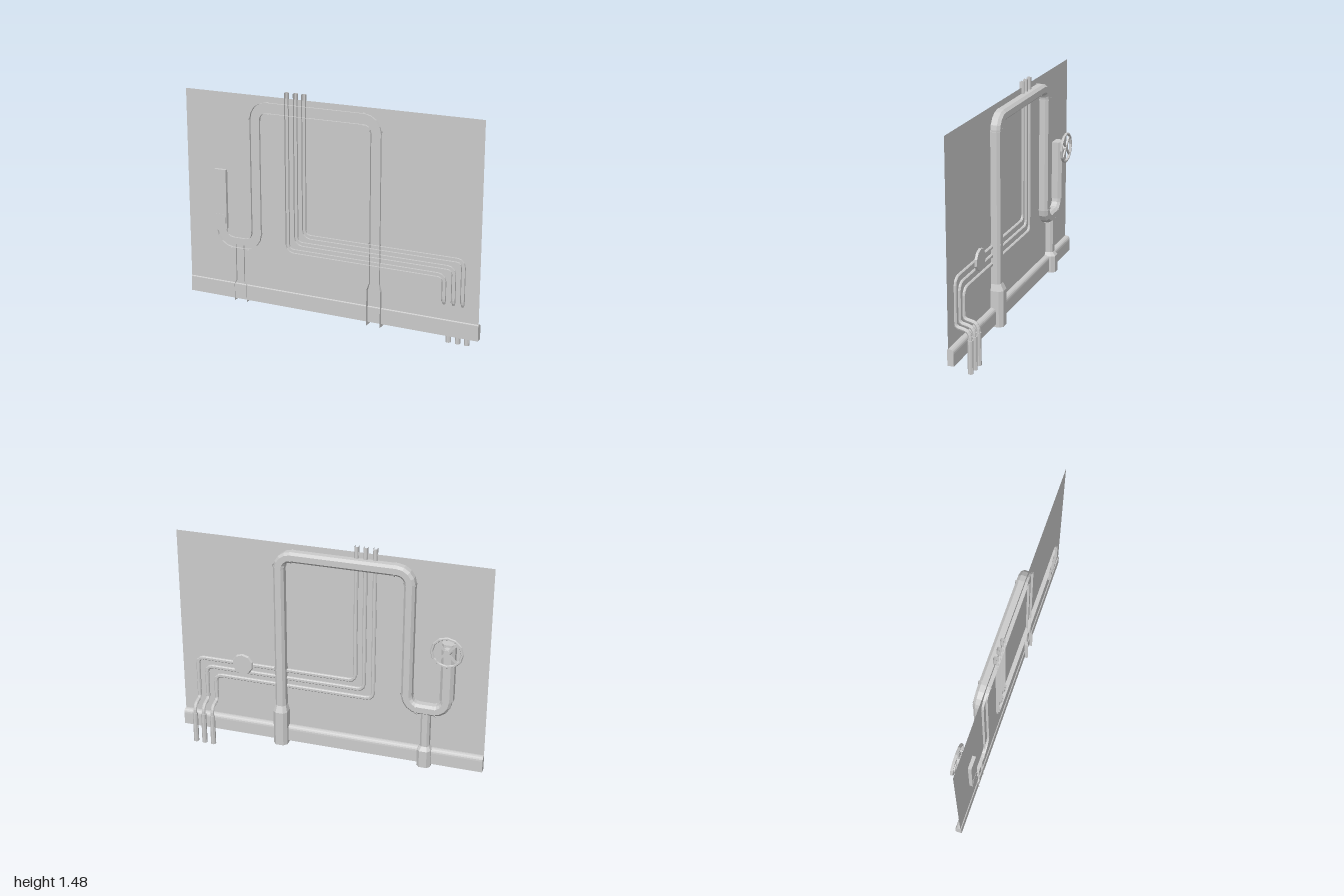
import * as THREE from 'three';

const V2 = (x, y) => new THREE.Vector2(x, y);
const flat = new THREE.MeshStandardMaterial({ color: 0xcccccc, flatShading: true, side: THREE.DoubleSide });
const smooth = new THREE.MeshStandardMaterial({ color: 0xcccccc, side: THREE.DoubleSide });

// open channel section: [sideways offset, z], open towards the front
const section = (hw, front, back) => {
  const c = hw * 0.55, b = back + hw * 0.5;
  return [[-hw, front], [-hw, b], [-c, back], [c, back], [hw, b], [hw, front]];
};

// round the corners of a polyline in the wall plane
function fillet(points, radius, steps = 4) {
  const p = points.map(([x, y]) => V2(x, y)), out = [p[0]];
  for (let i = 1; i < p.length - 1; i++) {
    const a = p[i - 1].clone().sub(p[i]).setLength(radius).add(p[i]);
    const b = p[i + 1].clone().sub(p[i]).setLength(radius).add(p[i]);
    const centre = a.clone().add(b).sub(p[i]);
    for (let k = 0; k <= steps; k++) {
      const t = (k / steps) * Math.PI / 2;
      out.push(centre.clone()
        .addScaledVector(a.clone().sub(centre), Math.cos(t))
        .addScaledVector(b.clone().sub(centre), Math.sin(t)));
    }
  }
  out.push(p[p.length - 1]);
  return out;
}

// sweep one section (or one per point) along a path in the wall plane
function sweep(path, sections) {
  const pos = [], index = [], n = path.length;
  const m = sections[0][0].length ? sections[0].length : 0;
  path.forEach((p, i) => {
    const t = V2(0, 0);
    if (i > 0) t.add(p.clone().sub(path[i - 1]).normalize());
    if (i < n - 1) t.add(path[i + 1].clone().sub(p).normalize());
    t.normalize();
    const sec = sections[Math.min(i, sections.length - 1)];
    sec.forEach(([u, z]) => pos.push(p.x - t.y * u, p.y + t.x * u, z));
    if (i === n - 1) return;
    for (let j = 0; j < m - 1; j++) {
      const a = i * m + j, b = a + m;
      index.push(a, a + 1, b, b, a + 1, b + 1);
    }
  });
  const g = new THREE.BufferGeometry();
  g.setAttribute('position', new THREE.Float32BufferAttribute(pos, 3));
  g.setIndex(index);
  g.computeVertexNormals();
  return g;
}

export function createModel() {
  const root = new THREE.Group();
  const add = (name, geometry, material = flat, parent = root) => {
    const mesh = new THREE.Mesh(geometry, material);
    mesh.name = name;
    parent.add(mesh);
    return mesh;
  };

  // wall panel
  add('wall', new THREE.PlaneGeometry(2, 1.36)).position.set(0, 0.76, 0.044);

  // skirting with a softened top, profile in (z, y)
  const skirt = new THREE.Shape();
  skirt.moveTo(0.05, 0.08);
  skirt.lineTo(0.05, 0.178);
  skirt.quadraticCurveTo(0.049, 0.185, 0.042, 0.185);
  skirt.lineTo(0.032, 0.185);
  skirt.quadraticCurveTo(0.01, 0.18, 0.01, 0.157);
  skirt.lineTo(0.01, 0.08);
  const skirtGeo = new THREE.ExtrudeGeometry(skirt, { depth: 2, bevelEnabled: false, curveSegments: 4 });
  skirtGeo.rotateY(-Math.PI / 2).scale(1, 1, 1).translate(1, 0, 0);
  add('skirting', skirtGeo, smooth);

  // main pipe loop
  const mainPath = fillet([[0.32, 0.33], [0.32, 1.368], [-0.503, 1.368], [-0.503, 0.463], [-0.755, 0.463], [-0.755, 0.645]], 0.08);
  add('mainPipe', sweep(mainPath, [section(0.034, 0.058, -0.012)]));

  // thin collars at the pipe joints: x, y, direction
  const collars = [
    [0.32, 0.595, 0, 1], [0.32, 1.3, 0, 1], [0.238, 1.368, 1, 0], [-0.41, 1.368, 1, 0],
    [-0.503, 1.288, 0, 1], [-0.503, 0.547, 0, 1], [-0.568, 0.463, 1, 0], [-0.688, 0.463, 1, 0],
  ];
  for (const [x, y, dx, dy] of collars) {
    const h = 0.005;
    const ends = [V2(x - dx * h, y - dy * h), V2(x + dx * h, y + dy * h)];
    add('pipeCollar', sweep(ends, [section(0.038, 0.06, -0.017)]));
  }

  // flared foot of the main pipe
  const foot = section(0.046, 0.07, -0.032);
  add('mainPipeFoot', sweep([V2(0.32, 0.06), V2(0.32, 0.295), V2(0.32, 0.337)],
    [foot, foot, section(0.034, 0.058, -0.012)]));

  // branch pipe and its foot
  const branch = section(0.029, 0.055, -0.004), branchFoot = section(0.044, 0.055, -0.025);
  add('branchPipe', sweep([0.065, 0.18, 0.205, 0.45].map(y => V2(-0.627, y)),
    [branchFoot, branchFoot, branch, branch]));

  // valve column, closed on all sides
  const outline = section(0.042, 0.066, -0.02).map(([x, z]) => V2(x, -z));
  const column = new THREE.ExtrudeGeometry(new THREE.Shape(outline), { depth: 0.39, bevelEnabled: false });
  column.rotateX(-Math.PI / 2);
  add('valveColumn', column).position.set(-0.755, 0.55, 0);
  add('valvePlate', new THREE.BoxGeometry(0.064, 0.11, 0.004)).position.set(-0.755, 0.59, 0.066);

  // handwheel
  const wheel = new THREE.Group();
  wheel.name = 'handwheel';
  wheel.position.set(-0.755, 0.9, -0.04);
  root.add(wheel);
  add('wheelRim', new THREE.TorusGeometry(0.094, 0.0095, 6, 12), flat, wheel);
  for (let i = 0; i < 2; i++) {
    add('wheelSpoke', new THREE.BoxGeometry(0.18, 0.014, 0.01), flat, wheel).rotation.z = Math.PI / 4 + i * Math.PI / 2;
  }
  const hub = new THREE.CylinderGeometry(0.02, 0.03, 0.035, 8).rotateX(-Math.PI / 2);
  add('wheelHub', hub, flat, wheel).position.z = 0.01;

  // three thin conduits, nested, each ending in a sleeve behind the wall
  [[-0.28, 0.465, 0.775], [-0.22, 0.52, 0.836], [-0.163, 0.575, 0.895]].forEach(([x0, y, x1]) => {
    const path = fillet([[x0, 1.477], [x0, y], [x1, y], [x1, 0.3]], 0.04, 3);
    add('conduit', sweep(path, [section(0.0125, 0.057, 0.03)]));
    const bend = new THREE.CatmullRomCurve3([
      [0.044, 0.33], [0.043, 0.3], [0.03, 0.28], [0, 0.273], [-0.032, 0.262], [-0.047, 0.235], [-0.049, 0.2],
    ].map(([z, h]) => new THREE.Vector3(x1, h, z)));
    add('conduitBend', new THREE.TubeGeometry(bend, 12, 0.0125, 8));
    add('conduitSleeve', new THREE.CylinderGeometry(0.017, 0.017, 0.21, 8).rotateY(Math.PI / 8))
      .position.set(x1, 0.105, -0.049);
  });

  // round cover plate over the conduits
  add('roundCover', new THREE.CylinderGeometry(0.066, 0.072, 0.014, 10).rotateX(-Math.PI / 2))
    .position.set(0.58, 0.58, 0.019);

  return root;
}
